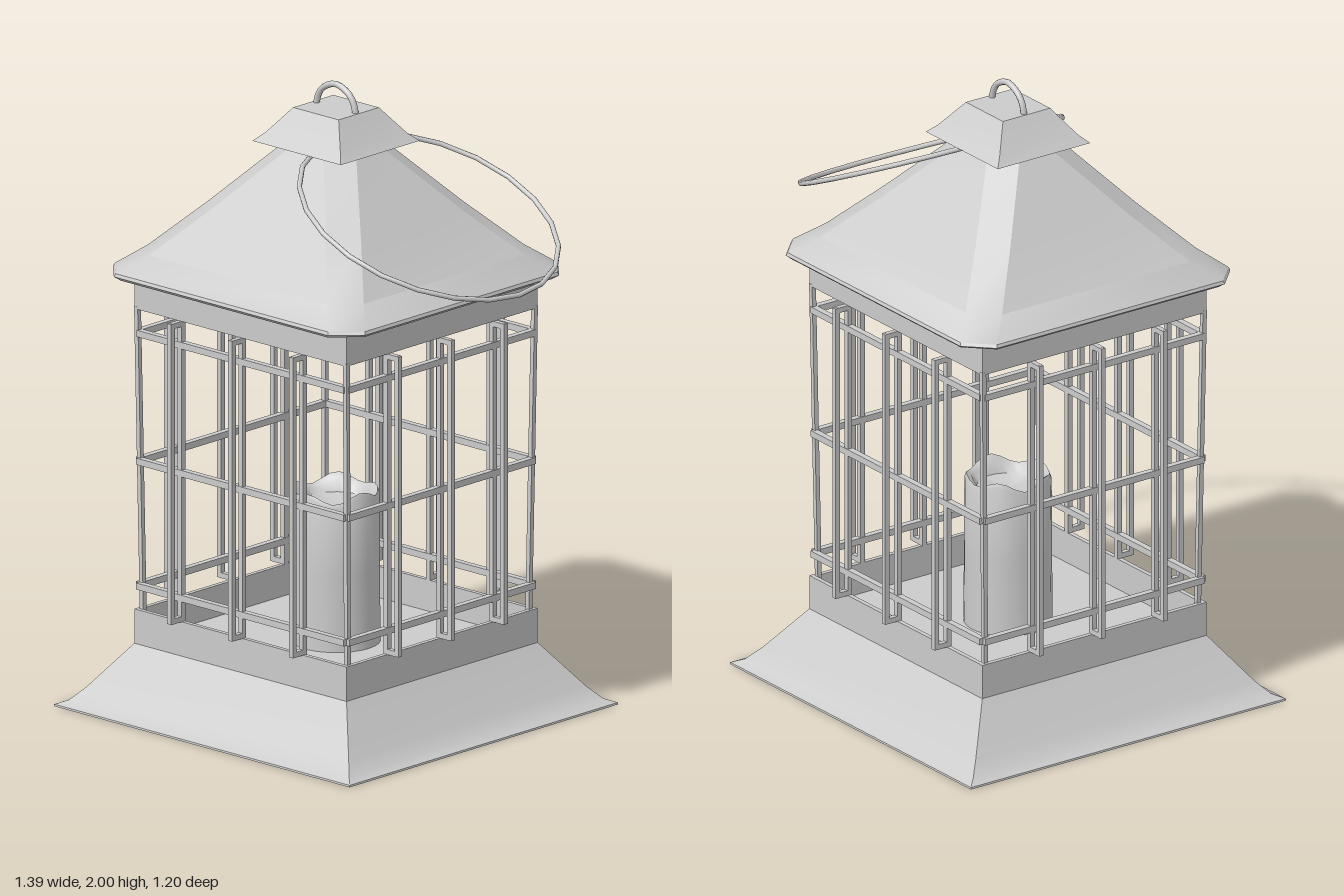
import * as THREE from 'three';
import { toCreasedNormals } from 'three/addons/utils/BufferGeometryUtils.js';

const material = new THREE.MeshStandardMaterial({ color: 0xcccccc, side: THREE.DoubleSide });

function add(parent, name, geometry) {
  const mesh = new THREE.Mesh(geometry, material);
  mesh.name = name;
  parent.add(mesh);
  return mesh;
}

// Rectangle outline, counterclockwise from above, with optional cut corners
function outline([y, hx, hz, cut = 0]) {
  const points = [];
  [[1, 1], [1, -1], [-1, -1], [-1, 1]].forEach(([sx, sz], i) => {
    const alongX = [sx * (hx - cut), y, sz * hz];
    const alongZ = [sx * hx, y, sz * (hz - cut)];
    if (!cut) points.push(alongX);
    else points.push(...(i % 2 ? [alongZ, alongX] : [alongX, alongZ]));
  });
  return points;
}

// Skin a stack of rectangular rings; each ring is [y, halfX, halfZ, cornerCut]
function loft(rings, capBottom = true, capTop = true) {
  const loops = rings.map(outline);
  const n = loops[0].length;
  const pos = [];
  const tri = (a, b, c) => pos.push(...a, ...b, ...c);
  for (let r = 0; r < loops.length - 1; r++) {
    for (let i = 0; i < n; i++) {
      const j = (i + 1) % n, lo = loops[r], hi = loops[r + 1];
      tri(lo[i], lo[j], hi[j]);
      tri(lo[i], hi[j], hi[i]);
    }
  }
  const top = loops[loops.length - 1];
  for (let i = 1; i < n - 1; i++) {
    if (capBottom) tri(loops[0][0], loops[0][i + 1], loops[0][i]);
    if (capTop) tri(top[0], top[i], top[i + 1]);
  }
  const geometry = new THREE.BufferGeometry();
  geometry.setAttribute('position', new THREE.Float32BufferAttribute(pos, 3));
  return toCreasedNormals(geometry, 0.5);
}

// Square bar between two points
function bar(parent, name, a, b, size = 0.017) {
  const from = new THREE.Vector3(...a), to = new THREE.Vector3(...b);
  const mesh = add(parent, name, new THREE.BoxGeometry(size, from.distanceTo(to), size));
  mesh.position.copy(from).add(to).multiplyScalar(0.5);
  mesh.quaternion.setFromUnitVectors(new THREE.Vector3(0, 1, 0), to.sub(from).normalize());
}

// Candle with a hollowed, wavy top
function candleGeometry() {
  const profile = [[0, 0.21], [0.137, 0.21], [0.135, 0.45], [0.134, 0.68], [0.128, 0.695],
    [0.112, 0.685], [0.095, 0.655], [0, 0.64]].map(([x, y]) => new THREE.Vector2(x, y));
  const geometry = new THREE.LatheGeometry(profile, 28);
  const p = geometry.attributes.position;
  for (let i = 0; i < p.count; i++) {
    const y = p.getY(i);
    if (y < 0.67) continue;
    const angle = Math.atan2(p.getZ(i), p.getX(i));
    p.setY(i, y + 0.011 * Math.sin(angle * 5 + 0.6) + 0.006 * Math.cos(angle * 3));
  }
  geometry.computeVertexNormals();
  return toCreasedNormals(geometry, 0.8);
}

export function createModel() {
  const model = new THREE.Group();
  model.name = 'lantern';
  const body = new THREE.Group();
  body.name = 'lanternBody';
  body.position.x = -0.07;
  model.add(body);
  const HX = 0.447, HZ = 0.427;

  // Flared foot, tray and the two bands holding the cage
  add(body, 'base', loft([[0, 0.623, 0.6], [0.006, 0.622, 0.599], [0.02, 0.59, 0.567],
    [0.06, 0.553, 0.53], [0.2, HX, HZ]], true, false));
  add(body, 'lowerBand', loft([[0.2, HX, HZ], [0.31, HX, HZ], [0.31, HX - 0.015, HZ - 0.015],
    [0.21, HX - 0.015, HZ - 0.015]], false, true));
  add(body, 'upperBand', loft([[1.38, HX - 0.015, HZ - 0.015], [1.272, HX - 0.015, HZ - 0.015],
    [1.272, HX, HZ], [1.39, HX, HZ]], false, false));

  // Hipped roof with cut corners, and the small cap on top
  add(body, 'roof', loft([[1.38, 0.515, 0.5, 0.08], [1.392, 0.531, 0.514, 0.08],
    [1.402, 0.527, 0.51, 0.08], [1.46, 0.455, 0.438, 0.08], [1.6, 0.322, 0.305, 0.076],
    [1.83, 0.115, 0.105, 0.07]]));
  add(body, 'cap', loft([[1.808, 0.186, 0.176], [1.835, 0.158, 0.148], [1.915, 0.096, 0.09]], false, true));

  // Hanging eye
  const eye = new THREE.CatmullRomCurve3([[-0.085, 1.9], [-0.075, 1.94], [-0.055, 1.968], [0, 1.99],
    [0.055, 1.968], [0.075, 1.94], [0.085, 1.9]].map(([x, y]) => new THREE.Vector3(x, y, 0)));
  add(body, 'hangingEye', new THREE.TubeGeometry(eye, 14, 0.01, 8));

  // Carrying ring, threaded under the cap and tipped to the left
  const ring = add(body, 'carryingRing', new THREE.TorusGeometry(0.417, 0.008, 8, 22));
  ring.rotation.order = 'ZXY';
  ring.rotation.set(Math.PI / 2, 0, -0.424);
  ring.position.set(0.38, 1.642, -0.012);

  // Cage: three standing wire loops and three rails on each face
  const cage = new THREE.Group();
  cage.name = 'cage';
  body.add(cage);
  for (const s of [1, -1]) {
    const faces = [
      { half: HX, out: HZ, step: 0.256, at: (u, y, d) => [u, y, s * d] },
      { half: HZ, out: HX, step: 0.236, at: (u, y, d) => [s * d, y, u] },
    ];
    for (const { half, out, step, at } of faces) {
      const near = out - 0.008, far = out + 0.038;
      for (const k of [-1, 0, 1]) {
        bar(cage, 'outerWire', at(k * step, 0.31, far), at(k * step, 1.272, far));
        bar(cage, 'innerWire', at(k * step, 0.31, near), at(k * step, 1.272, near));
        for (const y of [0.318, 1.264]) bar(cage, 'wireEnd', at(k * step, y, near), at(k * step, y, far));
      }
      for (const y of [0.385, 0.785, 1.195]) {
        bar(cage, 'rail', at(-half + 0.01, y, near), at(half - 0.01, y, near), 0.021);
      }
    }
    // Corner posts leaning in slightly toward the bottom
    for (const t of [1, -1]) {
      bar(cage, 'cornerPost', [s * 0.43, 0.3, t * 0.405], [s * 0.44, 1.28, t * 0.42], 0.015);
    }
  }

  add(body, 'candle', candleGeometry());
  return model;
}
